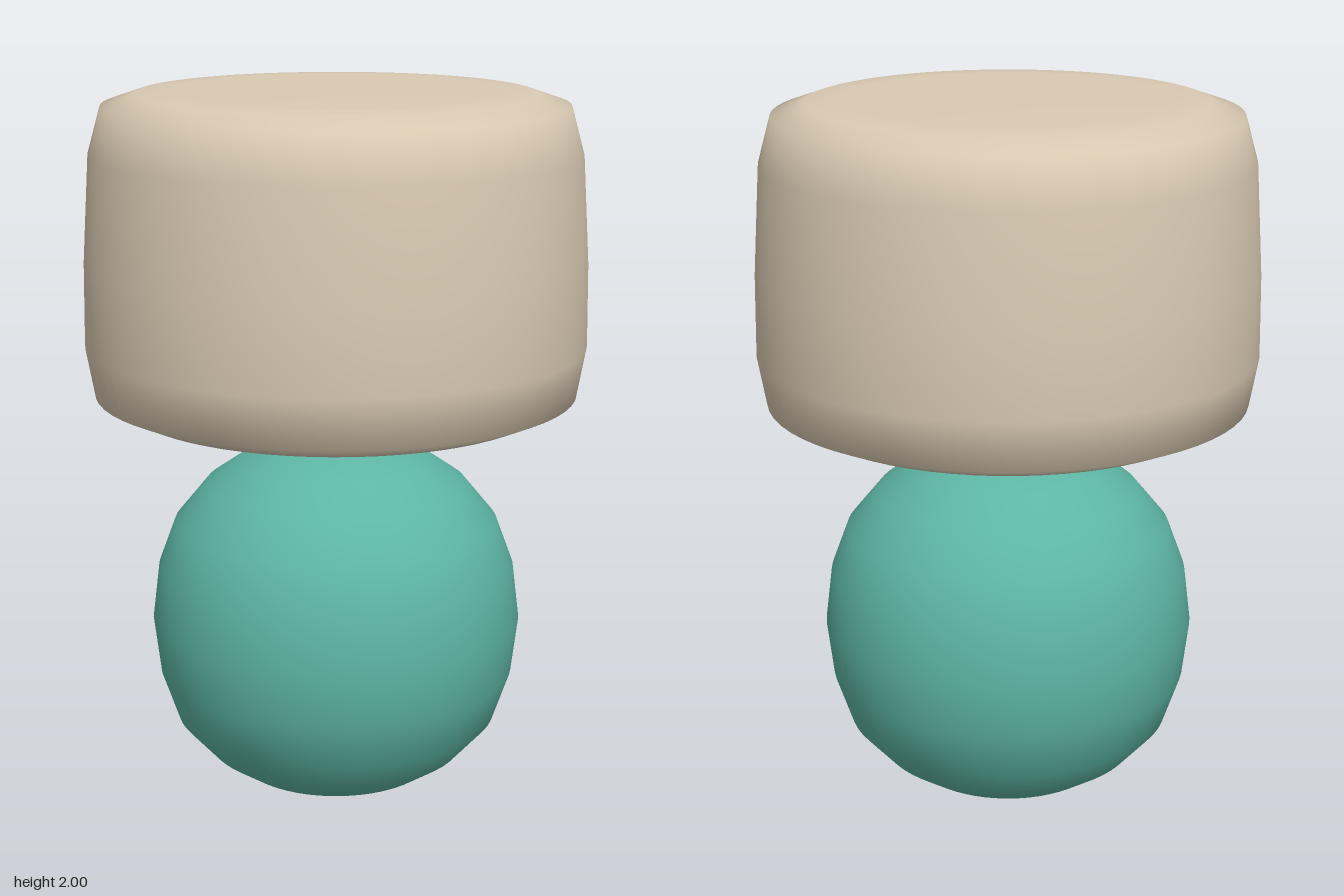
import * as THREE from 'three';

const SEGMENTS = 64;

// Revolve a bottom-to-top [radius, height] profile around the y axis
function turned(name, profile, color) {
  const points = profile.map(([r, y]) => new THREE.Vector2(r, y));
  const mesh = new THREE.Mesh(
    new THREE.LatheGeometry(points, SEGMENTS),
    new THREE.MeshStandardMaterial({ color })
  );
  mesh.name = name;
  return mesh;
}

export function createModel() {
  const lamp = new THREE.Group();
  lamp.name = 'tableLamp';
  const cream = 0xd9cab2;
  const teal = 0x5db5a4;

  // Round base, slightly flattened at both poles
  lamp.add(turned('base', [
    [0, 0], [0.13, 0.003], [0.19, 0.012], [0.28, 0.04], [0.37, 0.1], [0.46, 0.2],
    [0.508, 0.34], [0.527, 0.495], [0.508, 0.65], [0.46, 0.78], [0.37, 0.89],
    [0.27, 0.96], [0.18, 1.0], [0.12, 1.008], [0, 1.01],
  ], teal));

  // Short neck between base and shade
  lamp.add(turned('neck', [[0.1, 0.98], [0.1, 1.02], [0.092, 1.13]], cream));

  // Closed drum shade with soft rims and a gentle taper
  lamp.add(turned('shade', [
    [0, 1.11], [0.45, 1.113], [0.59, 1.122], [0.675, 1.16], [0.7, 1.3],
    [0.697, 1.53], [0.678, 1.83], [0.642, 1.96], [0.55, 1.992], [0.45, 1.998], [0, 2],
  ], cream));

  return lamp;
}
